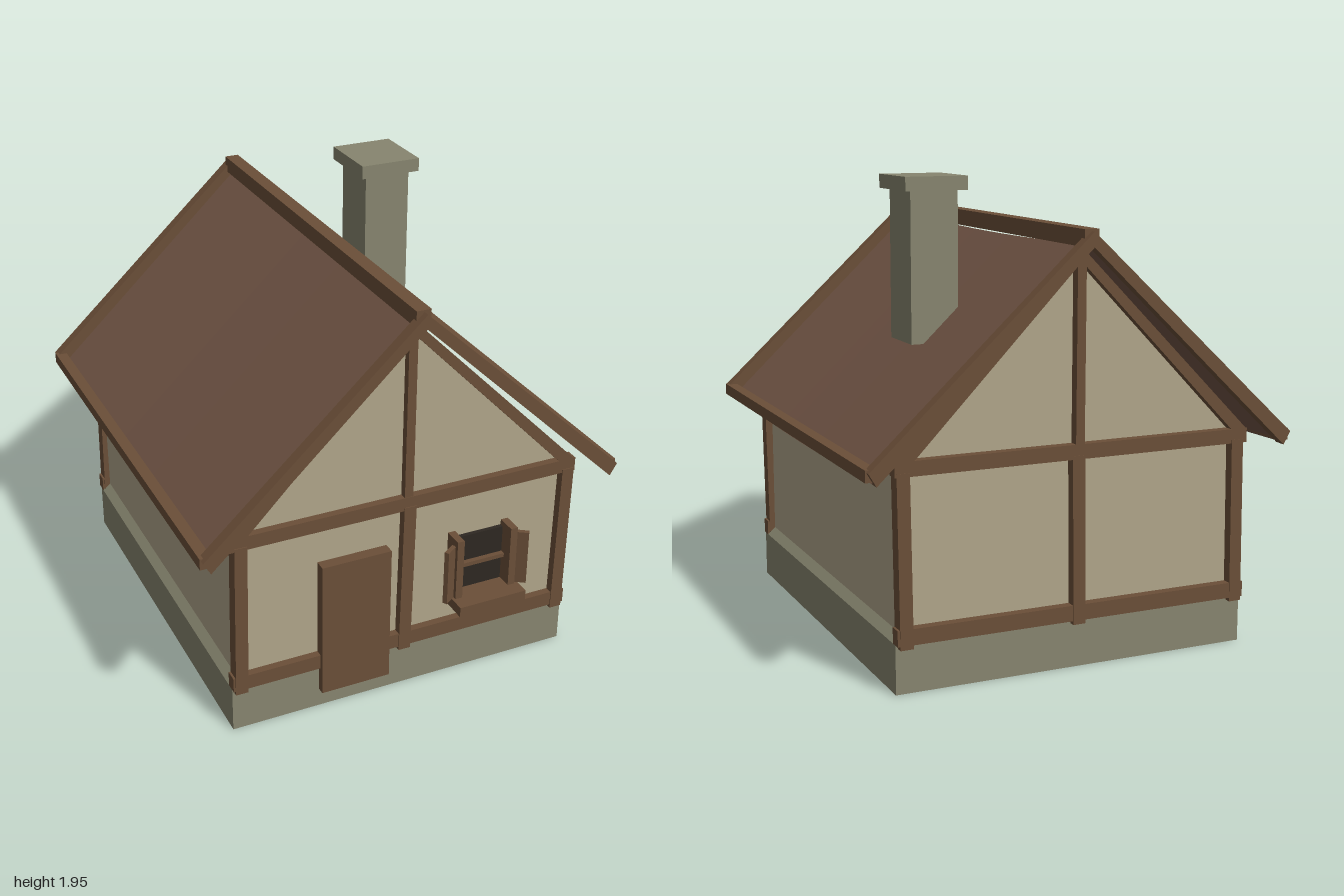
import * as THREE from 'three';

const mat = (color, side = THREE.FrontSide) =>
  new THREE.MeshStandardMaterial({ color, side, flatShading: true });

export function createModel() {
  const house = new THREE.Group();
  house.name = 'timberCottage';
  const stone = mat(0x87856f);
  const plaster = mat(0xb0a58a);
  const wood = mat(0x6b4f38);
  const tile = mat(0x745747, THREE.DoubleSide);
  const dark = mat(0x2e2822);

  const add = (name, geometry, material, parent = house) => {
    const mesh = new THREE.Mesh(geometry, material);
    mesh.name = name;
    parent.add(mesh);
    return mesh;
  };
  // Box given by its limits on each axis
  const box = (name, x0, x1, y0, y1, z0, z1, material = wood, parent = house) => {
    const mesh = add(name, new THREE.BoxGeometry(x1 - x0, y1 - y0, z1 - z0), material, parent);
    mesh.position.set((x0 + x1) / 2, (y0 + y1) / 2, (z0 + z1) / 2);
    return mesh;
  };
  // Outline in x and y, extruded from z0 to z1
  const slab = (name, points, z0, z1, material = wood, parent = house) => {
    const shape = new THREE.Shape(points.map(([x, y]) => new THREE.Vector2(x, y)));
    const geometry = new THREE.ExtrudeGeometry(shape, { depth: z1 - z0, bevelEnabled: false });
    return add(name, geometry.translate(0, 0, z0), material, parent);
  };

  // Stone base with a sloping ledge up to the walls
  box('foundation', -0.77, 0.77, 0, 0.2, -0.875, 0.865, stone);
  const ledge = new THREE.BoxGeometry(1.54, 0.035, 1.74);
  const lp = ledge.attributes.position;
  for (let i = 0; i < lp.count; i++) {
    if (lp.getY(i) > 0) lp.setXYZ(i, lp.getX(i) * 0.95, lp.getY(i), lp.getZ(i) * 0.965);
  }
  ledge.computeVertexNormals();
  add('foundationLedge', ledge, stone).position.set(0, 0.2175, -0.005);

  // Plastered body with gables
  slab('walls', [[-0.735, 0.21], [0.735, 0.21], [0.735, 0.9], [0, 1.66], [-0.735, 0.9]],
    -0.86, 0.85, plaster);

  // Timber framing on both gable ends
  for (const [name, z0, z1] of [['frontFrame', 0.83, 0.885], ['backFrame', -0.9, -0.845]]) {
    const frame = new THREE.Group();
    frame.name = name;
    house.add(frame);
    box('bottomBeam', -0.77, 0.77, 0.2, 0.265, z0, z1 - 0.002, wood, frame);
    box('topBeam', -0.77, 0.775, 0.86, 0.92, z0, z1 - 0.002, wood, frame);
    for (const x of [-0.73, 0, 0.737]) {
      const post = box('post', x - 0.027, x + 0.027, 0.185, 0.875, z0 - 0.002, z1 + 0.002, wood, frame);
      post.rotation.z = -0.014;
    }
    box('kingPost', -0.02, 0.018, 0.9, 1.66, z0, z1 - 0.004, wood, frame);
    for (const s of [-1, 1]) {
      slab('gableRafter', [[s * 0.77, 0.915], [0, 1.69], [0, 1.635], [s * 0.7, 0.915]], z0, z1, wood, frame);
    }
  }

  // Roof: sagging sheets, barge boards, eave beams and ridge
  for (const s of [-1, 1]) {
    const sheet = new THREE.PlaneGeometry(1, 1.92, 1, 16);
    const p = sheet.attributes.position;
    for (let i = 0; i < p.count; i++) {
      const d = (p.getX(i) + 0.5) * 0.89;
      const z = p.getY(i);
      p.setXYZ(i, s * d, 1.702 - 0.94 * d - 0.016 * Math.cos(z * Math.PI / 1.92), -z - 0.008);
    }
    // Keep both sheets facing up
    if (s > 0) sheet.index.array.reverse();
    const a = new THREE.Vector3(), b = new THREE.Vector3(), c = new THREE.Vector3();
    const ix = sheet.index;
    a.fromBufferAttribute(p, ix.getX(0));
    b.fromBufferAttribute(p, ix.getX(1)).sub(a);
    c.fromBufferAttribute(p, ix.getX(2)).sub(a);
    if (b.cross(c).y < 0) ix.array.reverse();
    sheet.computeVertexNormals();
    add('roofSheet', sheet, tile);

    for (const [z0, z1] of [[0.933, 0.983], [-1, -0.95]]) {
      slab('bargeBoard', [[0, 1.757], [s * 0.914, 0.912], [s * 0.883, 0.86], [0, 1.697]], z0, z1);
    }
    box('eaveBeam', s * 0.895 - 0.024, s * 0.895 + 0.024, 0.873, 0.921, -0.975, 0.96);
  }
  box('ridgeBeam', -0.033, 0.029, 1.697, 1.765, -0.975, 0.955);

  // Chimney
  box('chimneyStack', 0.292, 0.497, 1.27, 1.9, -0.374, -0.144, stone);
  box('chimneyCap', 0.26, 0.53, 1.888, 1.945, -0.406, -0.112, stone);

  // Door
  box('door', -0.388, -0.082, 0.085, 0.698, 0.85, 0.9);

  // Window with open shutters
  const win = new THREE.Group();
  win.name = 'window';
  house.add(win);
  box('windowPane', 0.225, 0.46, 0.4, 0.658, 0.845, 0.868, dark, win);
  box('windowSill', 0.19, 0.5, 0.36, 0.405, 0.845, 1, wood, win);
  box('windowBar', 0.23, 0.455, 0.52, 0.538, 0.86, 0.89, wood, win);
  for (const s of [-1, 1]) {
    const x = 0.343 + s * 0.125;
    box('windowJamb', x - 0.016, x + 0.016, 0.4, 0.682, 0.845, 0.935, wood, win);
    const xs = 0.341 + s * 0.167;
    const shutter = box('shutter', xs - 0.033, xs + 0.033, 0.405, 0.652, 0.915, 0.935, wood, win);
    shutter.rotation.y = -s * 0.6;
  }
  return house;
}
